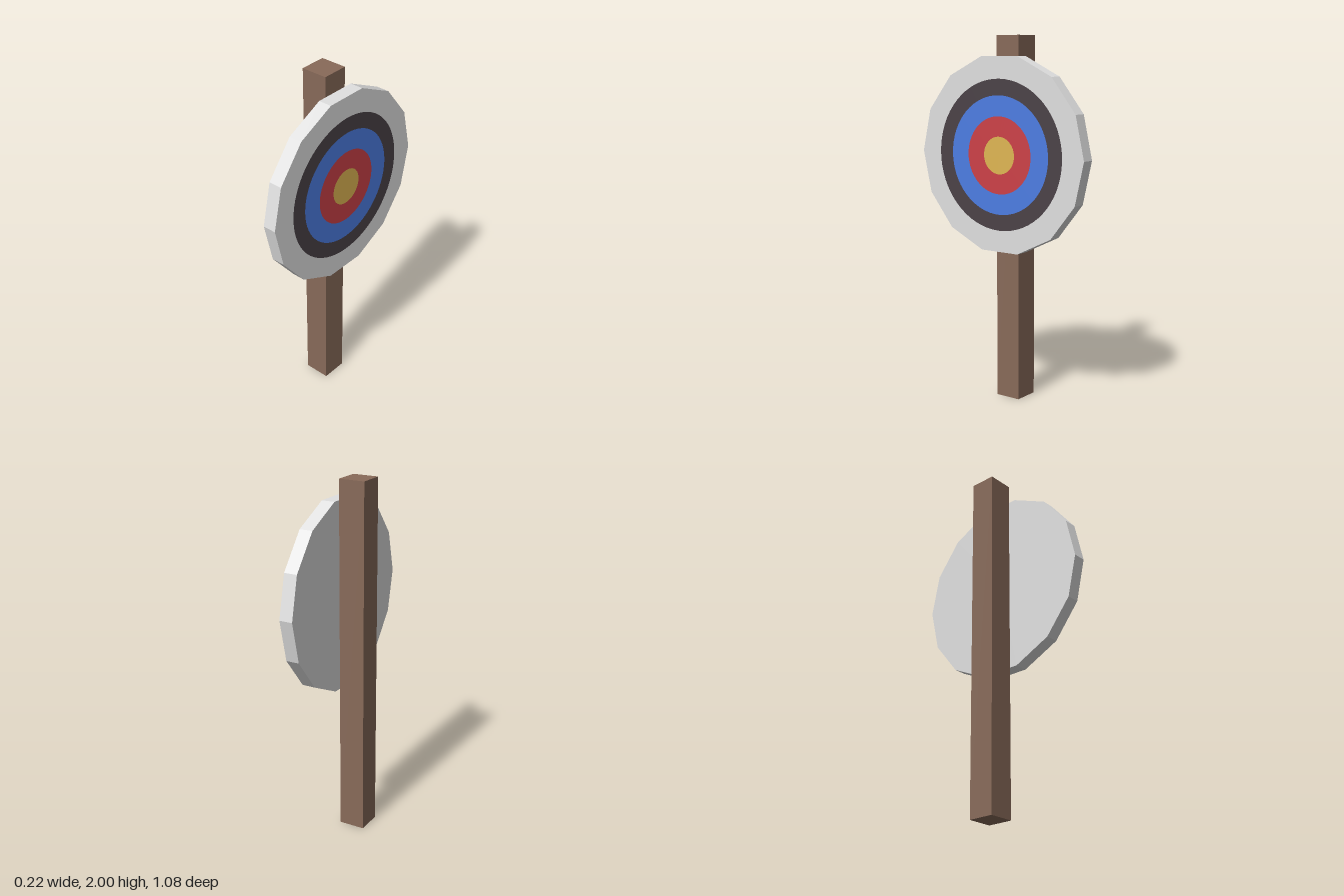
import * as THREE from 'three';

const flat = (name, color) => {
  const m = new THREE.MeshStandardMaterial({ color });
  m.name = name;
  return m;
};

export function createModel() {
  const wood = flat('brown wood', 0x886a59);
  const white = flat('white', 0xe0e0e0);
  const black = flat('charcoal', 0x4b4247);
  const blue = flat('blue', 0x4d7de3);
  const red = flat('red', 0xcd4148);
  const gold = flat('gold', 0xe0b653);

  const model = new THREE.Group();
  model.name = 'archeryTarget';
  const add = (parent, name, geometry, material) => {
    const mesh = new THREE.Mesh(geometry, material);
    mesh.name = name;
    parent.add(mesh);
    return mesh;
  };

  // Square upright post
  add(model, 'post', new THREE.BoxGeometry(0.147, 2, 0.147), wood)
    .position.set(-0.039, 1, 0);

  // Target facing +x, mounted on the side of the post
  const target = new THREE.Group();
  target.name = 'target';
  target.position.set(0, 1.365, 0);
  model.add(target);

  // Fourteen-sided board with a corner on each end of the z axis
  const board = new THREE.CylinderGeometry(0.538, 0.538, 0.075, 14)
    .rotateZ(-Math.PI / 2).toNonIndexed();
  board.computeVertexNormals();
  add(target, 'board', board, white).position.x = 0.072;

  // Painted rings, from the outside in
  const rings = [
    ['blackRing', 0.32, 0.407, black],
    ['blueRing', 0.209, 0.32, blue],
    ['redRing', 0.101, 0.209, red],
    ['bullseye', 0, 0.101, gold],
  ];
  for (const [name, inner, outer, material] of rings) {
    const geometry = inner > 0
      ? new THREE.RingGeometry(inner, outer, 64)
      : new THREE.CircleGeometry(outer, 64);
    add(target, name, geometry.rotateY(Math.PI / 2), material).position.x = 0.1125;
  }
  return model;
}
